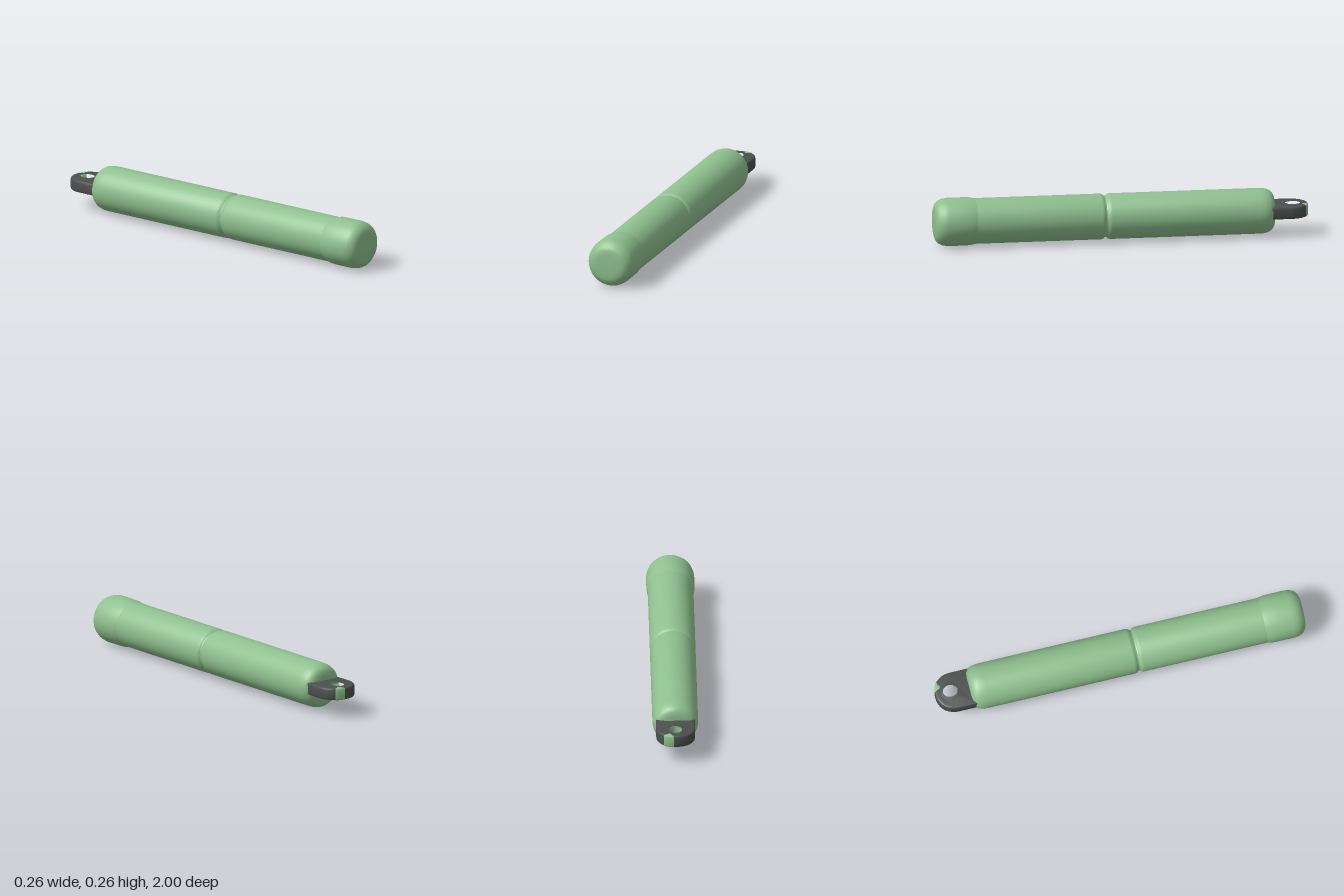
import * as THREE from 'three';
import { toCreasedNormals } from 'three/addons/utils/BufferGeometryUtils.js';

const AXIS_Y = 0.128;
const HOLE_Z = -0.918;

// Solid of revolution along z from [radius, z] pairs, back to front
function turned(profile, material, name) {
  const pts = profile.map(([r, z]) => new THREE.Vector2(r, z));
  const geo = new THREE.LatheGeometry(pts, 48).rotateX(Math.PI / 2);
  const mesh = new THREE.Mesh(toCreasedNormals(geo, 0.7), material);
  mesh.position.y = AXIS_Y;
  mesh.name = name;
  return mesh;
}

// Flat plate drawn in x/z, centred on height y
function plate(shape, thickness, bevel, y, material, name) {
  const geo = new THREE.ExtrudeGeometry(shape, {
    depth: thickness - 2 * bevel, bevelEnabled: bevel > 0, bevelSize: bevel,
    bevelThickness: bevel, bevelOffset: -bevel, bevelSegments: 3, curveSegments: 20,
  });
  geo.translate(0, 0, -(thickness - 2 * bevel) / 2).rotateX(Math.PI / 2);
  const mesh = new THREE.Mesh(toCreasedNormals(geo, 0.7), material);
  mesh.position.y = y;
  mesh.name = name;
  return mesh;
}

export function createModel() {
  const green = new THREE.MeshStandardMaterial({ color: 0x8fc08f, side: THREE.DoubleSide });
  green.name = 'soft green';
  const dark = new THREE.MeshStandardMaterial({ color: 0x4c504d });
  dark.name = 'dark grey';
  const group = new THREE.Group();
  group.name = 'tube with hanging lug';

  // Rear tube with a rounded shoulder behind the lug
  group.add(turned([
    [0, -0.815], [0.06, -0.817], [0.088, -0.813], [0.103, -0.802], [0.114, -0.785],
    [0.12, -0.76], [0.121, -0.73], [0.121, 0.06], [0.119, 0.071], [0.112, 0.079],
  ], green, 'rearTube'));

  // Shallow groove between the halves
  group.add(turned([[0.112, 0.079], [0.109, 0.086], [0.112, 0.093]], green, 'jointGroove'));

  // Front tube
  group.add(turned([
    [0.112, 0.093], [0.119, 0.1], [0.121, 0.112], [0.121, 0.78],
  ], green, 'frontTube'));

  // Slightly wider rounded end cap
  group.add(turned([
    [0.121, 0.78], [0.127, 0.81], [0.128, 0.86], [0.128, 0.93], [0.124, 0.955],
    [0.114, 0.977], [0.098, 0.991], [0.08, 0.998], [0.055, 1], [0, 1],
  ], green, 'endCap'));

  // Hanging lug with a hole
  const outline = new THREE.Shape();
  outline.moveTo(0.103, -0.79);
  outline.lineTo(0.103, -0.9);
  outline.bezierCurveTo(0.1, -0.965, 0.055, -1, 0, -1);
  outline.bezierCurveTo(-0.055, -1, -0.1, -0.965, -0.103, -0.9);
  outline.lineTo(-0.103, -0.79);
  outline.closePath();
  const hole = new THREE.Path();
  hole.absellipse(0, HOLE_Z, 0.043, 0.05, 0, Math.PI * 2, true);
  outline.holes.push(hole);
  group.add(plate(outline, 0.066, 0.01, 0.133, dark, 'hangingLug'));

  // Green patch across the tip of the lug
  const patch = new THREE.Shape();
  patch.moveTo(0.018, -0.968);
  patch.lineTo(0.012, -1);
  patch.quadraticCurveTo(0.045, -0.996, 0.064, -0.982);
  patch.lineTo(0.036, -0.955);
  patch.closePath();
  group.add(plate(patch, 0.067, 0.008, 0.133, green, 'tipPatch'));

  // Green lining on the inner wall of the hole
  const lining = new THREE.Mesh(
    new THREE.CylinderGeometry(0.042, 0.042, 0.046, 20, 1, true, -Math.PI / 3, Math.PI * 2 / 3), green);
  lining.scale.z = 0.049 / 0.042;
  lining.position.set(0, 0.133, HOLE_Z);
  lining.name = 'holeLining';
  group.add(lining);

  return group;
}
